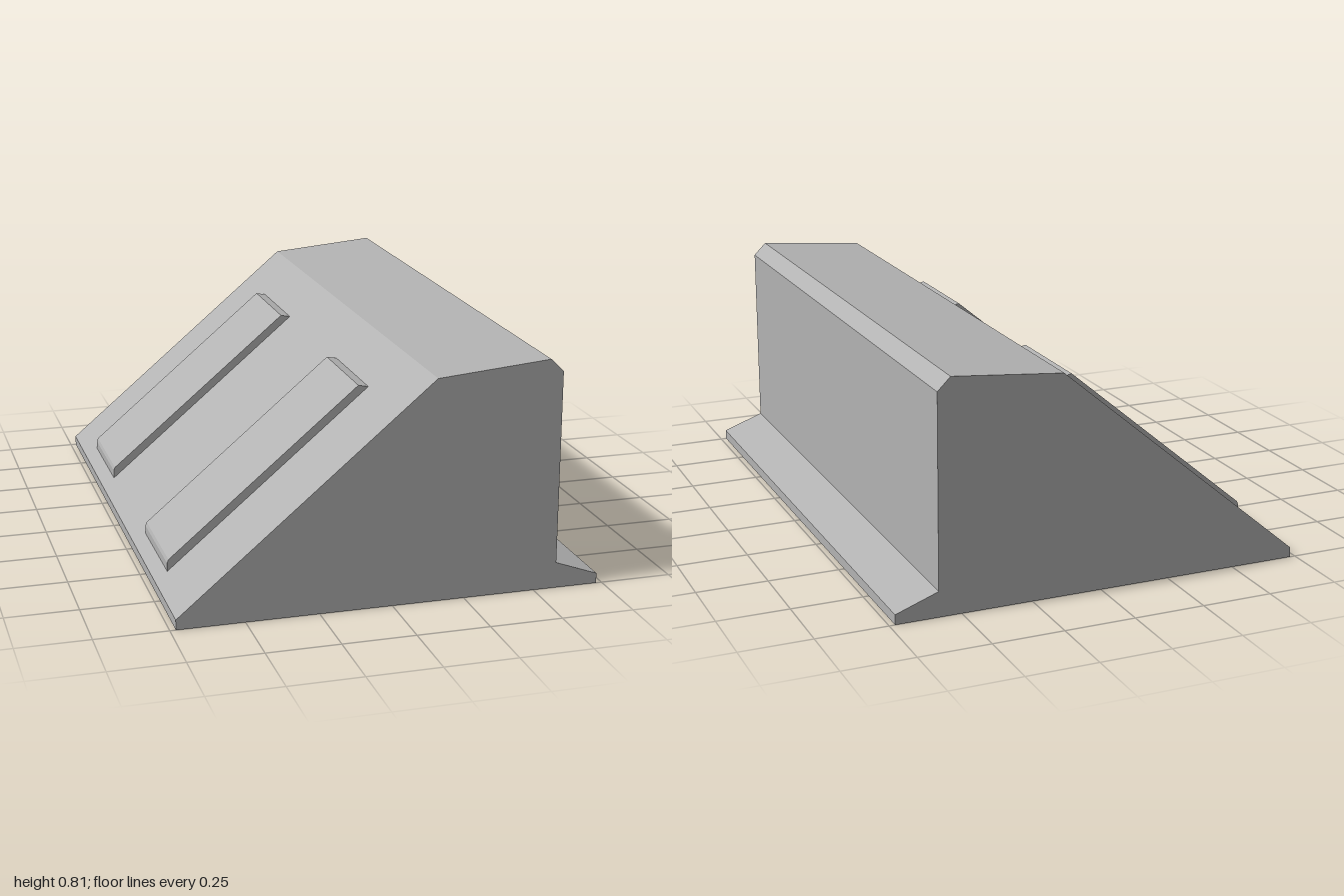
import * as THREE from 'three';
import { mergeGeometries } from 'three/addons/utils/BufferGeometryUtils.js';

const toPoints = (list) => list.map(([x, y]) => new THREE.Vector2(x, y));

// Sweeps an open profile along z; faces look to the right of its direction.
function strip(profile, z0, z1) {
  const pos = [];
  for (let i = 0; i < profile.length - 1; i++) {
    const [px, py] = profile[i];
    const [qx, qy] = profile[i + 1];
    pos.push(px, py, z0, qx, qy, z0, qx, qy, z1);
    pos.push(px, py, z0, qx, qy, z1, px, py, z1);
  }
  const geo = new THREE.BufferGeometry();
  geo.setAttribute('position', new THREE.Float32BufferAttribute(pos, 3));
  geo.computeVertexNormals();
  return geo;
}

// Flat end face of a profile, looking along +z (facing 1) or -z (facing -1).
function cap(profile, z, facing) {
  const shape = new THREE.Shape(toPoints(profile.map(([x, y]) => [x * facing, y])));
  const geo = new THREE.ShapeGeometry(shape).toNonIndexed();
  geo.deleteAttribute('uv');
  if (facing < 0) geo.rotateY(Math.PI);
  return geo.translate(0, 0, z);
}

export function createModel() {
  const model = new THREE.Group();
  model.name = 'wedgeBlock';
  const grey = new THREE.MeshStandardMaterial({ color: 0xb2b2b2 });
  grey.name = 'grey';

  const add = (name, parts) => {
    const mesh = new THREE.Mesh(mergeGeometries(parts), grey);
    mesh.name = name;
    model.add(mesh);
  };

  // Outer body: foot lip, upright wall, chamfer, gently sloped top, long ramp
  const outer = [
    [0.73, 0], [0.73, 0.035], [0.58, 0.09], [0.58, 0.76],
    [0.535, 0.805], [0.145, 0.77], [-0.73, 0.035], [-0.73, 0],
  ];
  add('body', [strip(outer, -1, 1), cap(outer, 1, 1), cap(outer, -1, -1)]);

  // Hollow inside, open at the bottom
  const inner = [[-0.475, 0], [0.21, 0.575], [0.39, 0.59], [0.39, 0]];
  const innerZ = 0.79;
  add('cavity', [
    strip(inner, -innerZ, innerZ),
    cap(inner, -innerZ, 1),
    cap(inner, innerZ, -1),
  ]);

  // Underside rim around the hollow
  const rim = new THREE.Shape(toPoints([[-0.73, -1], [0.73, -1], [0.73, 1], [-0.73, 1]]));
  rim.holes.push(new THREE.Path(toPoints([
    [-0.475, -innerZ], [-0.475, innerZ], [0.39, innerZ], [0.39, -innerZ],
  ])));
  add('undersideRim', [new THREE.ShapeGeometry(rim).rotateX(Math.PI / 2)]);

  // Two raised pads on the ramp
  const pad = [[0.015, 0.661], [-0.02, 0.668], [-0.683, 0.112], [-0.688, 0.1], [-0.688, 0.07]];
  [['frontPad', 0.295, 0.67], ['backPad', -0.71, -0.33]].forEach(([name, z0, z1]) => {
    add(name, [strip(pad, z0, z1), cap(pad, z1, 1), cap(pad, z0, -1)]);
  });

  return model;
}
